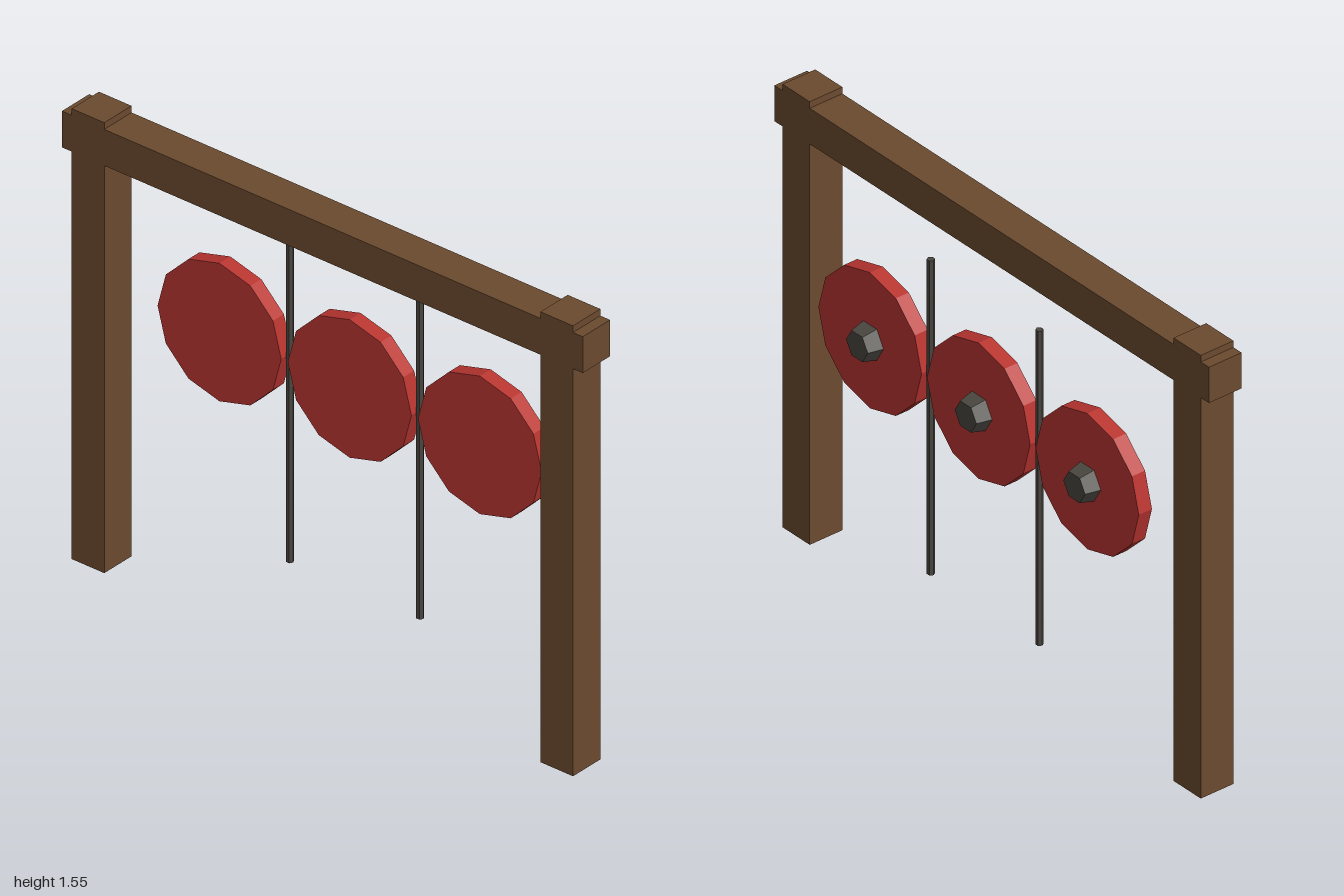
import * as THREE from 'three';

export function createModel() {
  const group = new THREE.Group();
  const material = (color) => new THREE.MeshStandardMaterial({ color, flatShading: true });
  const wood = material(0x6b4a2f);
  const red = material(0xb83530);
  const iron = material(0x4a4640);

  const add = (name, geometry, mat, x, y, z) => {
    const mesh = new THREE.Mesh(geometry, mat);
    mesh.name = name;
    mesh.position.set(x, y, z);
    group.add(mesh);
    return mesh;
  };

  // Wooden frame: two posts and a beam that overhangs them
  const frameX = -0.0525, thickness = 0.125;
  for (const side of [1, -1]) {
    add(side > 0 ? 'frontPost' : 'backPost',
      new THREE.BoxGeometry(thickness, 1.55, thickness), wood, frameX, 0.775, side * 0.9);
  }
  add('beam', new THREE.BoxGeometry(thickness, 0.125, 2), wood, frameX, 1.4645, 0);

  // Round shields, each with a tapered hexagonal boss, facing +x
  const shieldGeometry = new THREE.CylinderGeometry(0.2375, 0.2375, 0.05, 12).rotateZ(-Math.PI / 2);
  const bossGeometry = new THREE.CylinderGeometry(0.05, 0.0625, 0.05, 6).rotateZ(-Math.PI / 2);
  for (const z of [0.5, 0, -0.5]) {
    add('shield', shieldGeometry, red, 0.035, 0.902, z);
    add('shieldBoss', bossGeometry, iron, 0.085, 0.902, z);
  }

  // Thin upright rods between the shields
  const rodGeometry = new THREE.CylinderGeometry(0.0125, 0.0125, 1.1, 6);
  for (const z of [0.25, -0.25]) add('rod', rodGeometry, iron, 0.035, 0.75, z);

  return group;
}
